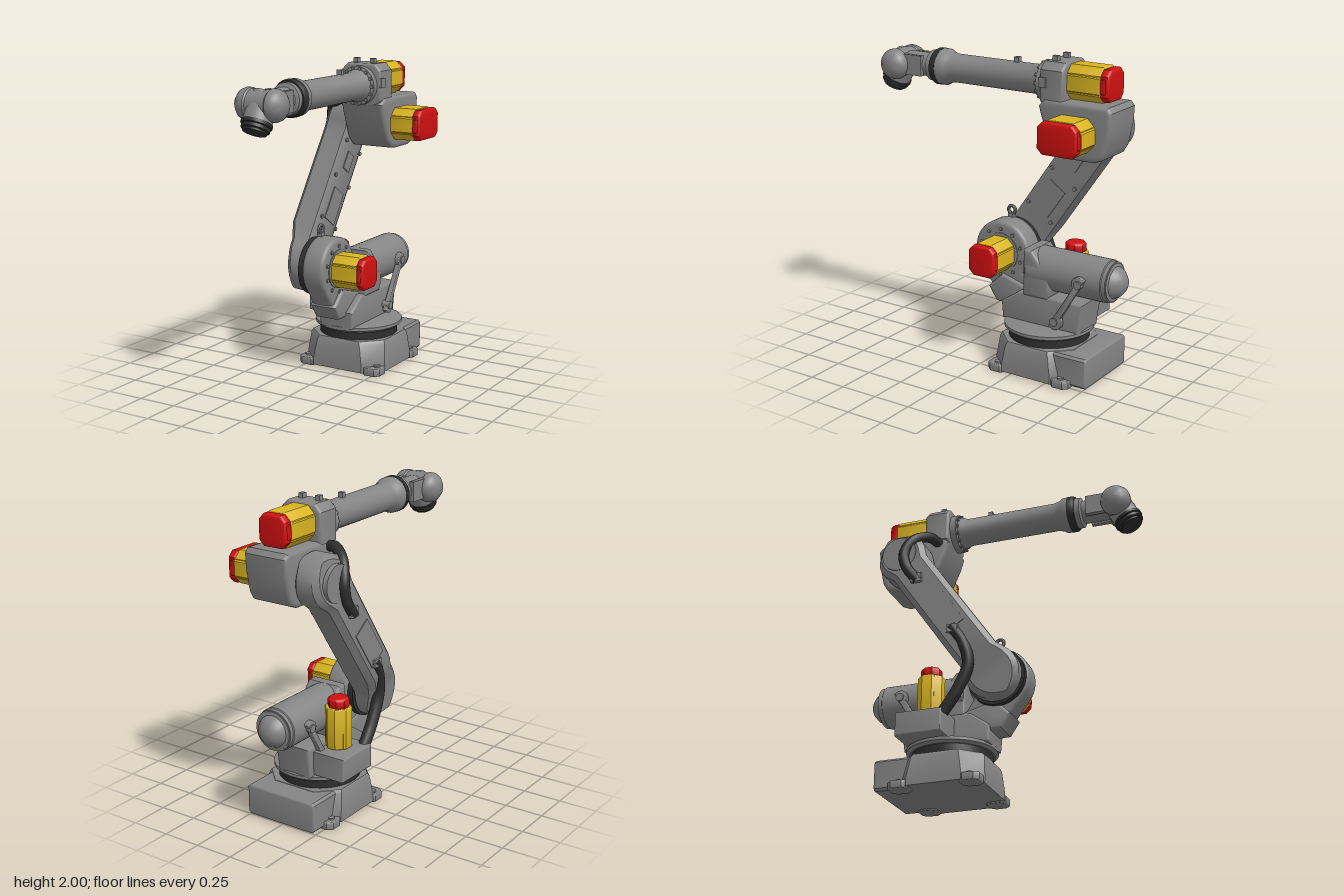
import * as THREE from 'three';
import { toCreasedNormals } from 'three/addons/utils/BufferGeometryUtils.js';

const paint = (name, color) => Object.assign(new THREE.MeshStandardMaterial({ color }), { name });
const V = (x, y, z) => new THREE.Vector3(x, y, z);

export function createModel() {
  const grey = paint('castGrey', 0x858585);
  const dark = paint('rubberBlack', 0x2e2e2e);
  const yellow = paint('motorYellow', 0xdab520);
  const red = paint('capRed', 0xd01010);
  const model = new THREE.Group();
  model.name = 'robotArm';

  const add = (name, geometry, mat, parent = model) => {
    const mesh = new THREE.Mesh(toCreasedNormals(geometry, 0.6), mat);
    mesh.name = name;
    parent.add(mesh);
    return mesh;
  };

  // Turned part: profile of [radius, distance] along a direction
  const turned = (name, mat, profile, origin, dir, sides = 40) => {
    const g = new THREE.LatheGeometry(profile.map(([r, d]) => new THREE.Vector2(r, d)), sides);
    const mesh = add(name, g, mat);
    mesh.position.copy(origin);
    mesh.quaternion.setFromUnitVectors(V(0, 1, 0), dir.clone().normalize());
    return mesh;
  };
  const disc = (name, mat, r, len, origin, dir, sides) =>
    turned(name, mat, [[0, 0], [r, 0], [r, len], [0, len]], origin, dir, sides);
  const box = (name, mat, w, h, d, x, y, z) => {
    const mesh = add(name, new THREE.BoxGeometry(w, h, d), mat);
    mesh.position.set(x, y, z);
    return mesh;
  };

  // Bevelled extrusion of a shape, from depth 0 to len
  const extrude = (pts, len, bevel) => new THREE.ExtrudeGeometry(
    new THREE.Shape(pts.map(([x, y]) => new THREE.Vector2(x, y))),
    { depth: len - 2 * bevel, bevelThickness: bevel, bevelSize: bevel, bevelOffset: -bevel, bevelSegments: 3 })
    .translate(0, 0, bevel);
  // Side casting: outline in (z, y), spanning x0..x1
  const casting = (name, outline, x0, x1, bevel) =>
    add(name, extrude(outline.map(([z, y]) => [-z, y]), x1 - x0, bevel).rotateY(Math.PI / 2).translate(x0, 0, 0), grey);
  const arc = (cz, cy, r, a0, a1, n = 20) => Array.from({ length: n + 1 }, (_, i) => {
    const a = THREE.MathUtils.degToRad(a0 + (a1 - a0) * i / n);
    return [cz + r * Math.cos(a), cy + r * Math.sin(a)];
  });
  const octagon = (w, h, c) => {
    const x = w / 2, y = h / 2;
    return [[x, c - y], [x, y - c], [x - c, y], [c - x, y], [-x, y - c], [-x, c - y], [c - x, -y], [x - c, -y]];
  };

  // Skin over rings with equal point counts, closed at both ends
  const loft = (rings) => {
    const n = rings[0].length, pts = rings.flat(), idx = [];
    for (let i = 0; i < rings.length - 1; i++) for (let j = 0; j < n; j++) {
      const a = i * n + j, b = i * n + (j + 1) % n;
      idx.push(a, b, a + n, b, b + n, a + n);
    }
    const end = (rings.length - 1) * n;
    for (let j = 1; j < n - 1; j++) idx.push(0, j + 1, j, end, end + j, end + j + 1);
    let vol = 0;
    for (let i = 0; i < idx.length; i += 3)
      vol += pts[idx[i]].dot(pts[idx[i + 1]].clone().cross(pts[idx[i + 2]]));
    if (vol < 0) idx.reverse();
    const g = new THREE.BufferGeometry().setFromPoints(pts);
    g.setIndex(idx);
    return g;
  };

  // Servo motor along local +z: ribbed yellow body and red end cap
  const motor = (name, w, h, body, cap, capScale, pos, rx, ry) => {
    const g = new THREE.Group();
    g.name = name;
    add('motorBody', extrude(octagon(w * 0.94, h, 0.045), body, 0.006), yellow, g);
    add('motorRib', extrude(octagon(w, h * 0.55, 0.012), body, 0.006), yellow, g);
    const end = add('motorCap', extrude(octagon(w * capScale, h * capScale, 0.035), cap + 0.01, 0.018), red, g);
    end.position.z = body - 0.01;
    add('motorCapBand', extrude(octagon(w * capScale * 1.04, h * capScale * 0.55, 0.012), cap * 0.75, 0.01), red, g)
      .position.z = body - 0.005;
    g.position.copy(pos);
    g.rotation.set(rx, ry, 0);
    model.add(g);
  };
  const X = V(1, 0, 0), Y = V(0, 1, 0), Z = V(0, 0, 1);

  // Pedestal with rear connector box and foot pads
  const baseRing = (y, s, c) => octagon(0.58 * s, 0.57 * s, c).map(([x, z]) => V(x, y, z - 0.365));
  add('basePedestal', loft([baseRing(0.01, 1, 0.11), baseRing(0.06, 1, 0.11), baseRing(0.19, 0.955, 0.12), baseRing(0.21, 0.92, 0.12)]), grey);
  add('baseRearBox', extrude(octagon(0.5, 0.195, 0.015), 0.3, 0.012), grey).position.set(0, 0.11, -0.77);
  for (const x of [-0.235, 0.235]) for (const z of [-0.145, -0.6]) {
    add('footPad', extrude(octagon(0.13, 0.13, 0.03), 0.05, 0.006).rotateX(-Math.PI / 2), grey).position.set(x, 0, z);
    disc('footBolt', grey, 0.02, 0.015, V(x * 1.1, 0.045, z), Y, 12);
  }

  // Slewing ring and turntable
  disc('slewRing', dark, 0.255, 0.07, V(0, 0.2, -0.36), Y, 48);
  turned('turntable', grey, [[0, 0], [0.265, 0], [0.285, 0.015], [0.285, 0.035], [0.27, 0.04], [0, 0.04]], V(0, 0.262, -0.36), Y, 48);
  casting('turretBody', [[-0.08, 0.29], [-0.07, 0.4], [-0.2, 0.49], [-0.66, 0.49], [-0.63, 0.29]], -0.13, 0.115, 0.015);

  // Shoulder housing
  casting('shoulderHousing', [[-0.02, 0.37], ...arc(-0.025, 0.7, 0.2, -38, 215, 32), [-0.26, 0.47], [-0.28, 0.37]], -0.11, 0.045, 0.025);
  casting('shoulderFoot', [[-0.0, 0.37], [0.06, 0.46], [-0.04, 0.56], [-0.25, 0.5], [-0.28, 0.37]], -0.12, 0.07, 0.02);
  disc('shoulderSeal', dark, 0.185, 0.04, V(-0.145, 0.7, -0.025), X);
  disc('shoulderPlate', grey, 0.125, 0.008, V(0.042, 0.7, -0.025), X);
  for (let i = 0; i < 10; i++) {
    const a = i * Math.PI / 5 + 0.3;
    disc('shoulderBolt', grey, 0.012, 0.014, V(0.04, 0.7 + 0.15 * Math.sin(a), -0.025 + 0.15 * Math.cos(a)), X, 8);
  }
  const eye = add('liftingEye', new THREE.TorusGeometry(0.025, 0.011, 8, 20).rotateY(Math.PI / 2), grey);
  eye.position.set(-0.085, 0.945, -0.02);
  box('liftingEyeFoot', grey, 0.035, 0.04, 0.04, -0.085, 0.905, -0.02);
  motor('shoulderMotor', 0.2, 0.21, 0.19, 0.045, 0.95, V(0.04, 0.697, -0.025), 0, Math.PI / 2);

  // Balancer cylinder with cradle and two support links
  turned('balancerCylinder', grey, [[0, 0], [0.125, 0], [0.135, 0.01], [0.135, 0.54], [0.12, 0.55], [0.12, 0.575],
    [0.1, 0.58], [0.085, 0.61], [0.05, 0.64], [0, 0.65]], V(0, 0.645, -0.25), V(0, 0, -1));
  for (const r of [0.128]) disc('balancerBand', grey, r, 0.03, V(0, 0.645, -0.79), V(0, 0, -1));
  casting('balancerCradle', [[-0.24, 0.78], [-0.24, 0.48], [-0.41, 0.48], [-0.43, 0.52], [-0.43, 0.62], [-0.3, 0.78]], -0.115, 0.13, 0.02);
  for (const s of [-1, 1]) {
    const link = casting('supportLink', [...arc(-0.655, 0.64, 0.048, -35, 145, 10), ...arc(-0.49, 0.365, 0.052, 145, 325, 10)], -0.016, 0.016, 0.006);
    link.position.x = s * 0.145;
    for (const [y, z] of [[0.64, -0.655], [0.365, -0.49]])
      disc('linkPin', grey, 0.026, 0.08, V(s * 0.09, y, z), V(s, 0, 0), 16);
  }

  // Side bracket with the upright slewing motor
  casting('motorBracket', [[-0.3, 0.31], [-0.3, 0.46], [-0.6, 0.46], [-0.6, 0.31]], -0.35, -0.12, 0.01);
  motor('slewMotor', 0.155, 0.16, 0.26, 0.06, 0.78, V(-0.195, 0.46, -0.43), -Math.PI / 2, 0);

  // Lower arm: chamfered sections between shoulder and elbow axes
  const A = V(0, 0.7, -0.025), B = V(0, 1.56, -0.62), L = A.distanceTo(B);
  const along = B.clone().sub(A).normalize(), across = V(0, along.z, -along.y);
  const outer = (t) => {
    const k = [[-0.2, -0.23], [0, -0.26], [0.24, -0.335], [L - 0.12, -0.335], [L + 0.2, -0.285]];
    const i = Math.min(3, Math.max(0, k.findIndex(([d]) => d > t) - 1));
    return THREE.MathUtils.mapLinear(t, k[i][0], k[i + 1][0], k[i][1], k[i + 1][1]);
  };
  const stops = [-0.169, -0.16, -0.145, -0.12, -0.08, -0.04, 0, 0.04, 0.08, 0.12];
  const round = (t, r) => Math.sqrt(Math.max(0, r * r - t * t));
  const armRings = [...stops, 0.24, 0.5, 0.75, ...stops.map((t) => L - t * 0.97).reverse()].map((t) => {
    const inside = t > 0 && t < L ? 0.132 : 0;
    const w = Math.max(round(t, 0.17), round(t - L, 0.165), inside);
    const c = Math.min(0.035, w * 0.5), o = outer(t), n = -0.137;
    return [[n, c - w], [n, w - c], [n - c * 0.5, w], [o + c, w], [o, w - c], [o, c - w], [o + c, -w], [n - c * 0.5, -w]]
      .map(([x, s]) => A.clone().addScaledVector(along, t).addScaledVector(across, s).setX(x));
  });
  add('lowerArm', loft(armRings), grey);
  // Arm covers and bosses
  const armTilt = Math.atan2(along.z, along.y);
  for (const [t, w, h, x] of [[0.42, 0.13, 0.22, -0.137], [0.74, 0.08, 0.12, -0.137], [0.5, 0.14, 0.3, -0.335]]) {
    const p = A.clone().addScaledVector(along, t);
    box('armCover', grey, 0.012, h, w, x, p.y, p.z).rotation.x = armTilt;
  }
  for (const t of [0.3, 0.6, 0.85]) for (const s of [-0.1, 0.1]) {
    const p = A.clone().addScaledVector(along, t).addScaledVector(across, s);
    disc('armBoss', grey, 0.013, 0.012, p.setX(-0.138), X, 10);
  }
  disc('elbowCover', grey, 0.115, 0.03, V(-0.335, 1.56, -0.62), X);
  box('hoseClampLow', grey, 0.06, 0.05, 0.07, -0.325, 0.97, -0.24);
  box('hoseClampHigh', grey, 0.05, 0.06, 0.07, -0.335, 1.36, -0.49);

  // Elbow gearbox
  disc('elbowSeal', dark, 0.15, 0.05, V(-0.165, 1.56, -0.62), X);
  casting('elbowGearbox', [[-0.36, 1.71], [-0.38, 1.64], [-0.45, 1.47], [-0.5, 1.42], [-0.56, 1.41], [-0.74, 1.41], [-0.79, 1.43],
    [-0.82, 1.48], [-0.85, 1.62], [-0.855, 1.72], [-0.83, 1.75], [-0.4, 1.75]], -0.142, 0.163, 0.025);
  motor('elbowMotor', 0.28, 0.205, 0.165, 0.05, 0.96, V(0.155, 1.575, -0.615), 0, Math.PI / 2);

  // Forearm rear housing and roll motor
  add('forearmHousing', extrude(octagon(0.29, 0.28, 0.045), 0.165, 0.02), grey).position.set(0.003, 1.83, -0.525);
  motor('rollMotor', 0.21, 0.21, 0.23, 0.055, 0.92, V(0, 1.855, -0.515), 0, Math.PI);
  for (const x of [-0.06, 0.06]) box('topLug', grey, 0.03, 0.045, 0.035, x, 1.977, -0.425);
  box('housingPad', grey, 0.016, 0.06, 0.05, 0.15, 1.85, -0.385);

  // Forearm tube with flanges
  turned('forearmTube', grey, [[0, 0], [0.125, 0], [0.125, 0.045], [0.105, 0.05], [0.1, 0.08], [0.09, 0.1], [0.09, 0.7],
    [0.098, 0.74], [0.114, 0.765], [0.114, 0.8], [0, 0.8]], V(0, 1.83, -0.365), Z);
  for (let i = 0; i < 14; i++) {
    const a = i * Math.PI / 7;
    disc('flangeBolt', grey, 0.011, 0.016, V(0.113 * Math.cos(a), 1.83 + 0.113 * Math.sin(a), -0.322), Z, 8);
  }
  box('forearmLug', grey, 0.035, 0.05, 0.03, 0, 1.925, -0.115);
  turned('forearmSeal', dark, [[0, 0], [0.116, 0], [0.116, 0.03], [0.108, 0.045], [0, 0.045]], V(0, 1.83, 0.434), Z);
  turned('wristCollar', grey, [[0, 0], [0.098, 0], [0.098, 0.035], [0.075, 0.045], [0.075, 0.22], [0, 0.22]], V(0, 1.83, 0.478), Z);

  // Wrist: domed side pods, round knuckle and tool flange
  const W = V(0, 1.825, 0.755), tool = V(0, -0.88, 0.475);
  for (const s of [-1, 1]) {
    turned('wristPod', grey, [[0, 0], [0.09, 0], [0.097, 0.01], [0.097, 0.035], [0.085, 0.065], [0.055, 0.09], [0, 0.1]],
      V(s * 0.065, W.y, W.z), V(s, 0, 0));
    box('wristFork', grey, 0.03, 0.13, 0.17, s * 0.073, 1.83, 0.64);
  }
  disc('wristKnuckle', grey, 0.09, 0.15, V(-0.075, W.y, W.z), X);
  turned('wristHead', grey, [[0, -0.07], [0.075, -0.07], [0.088, 0], [0.088, 0.115], [0, 0.115]], W, tool);
  turned('toolFlange', dark, [[0, 0], [0.094, 0], [0.094, 0.02], [0.086, 0.025], [0.086, 0.045], [0.072, 0.05], [0.072, 0.062], [0, 0.062]],
    W.clone().addScaledVector(tool, 0.11), tool);

  // Cable hoses
  const hose = (name, pts, r) => add(name, new THREE.TubeGeometry(new THREE.CatmullRomCurve3(pts.map((p) => V(...p))), 40, r, 12), dark);
  hose('lowerHose', [[-0.3, 0.44, -0.31], [-0.3, 0.57, -0.22], [-0.3, 0.74, -0.15], [-0.315, 0.88, -0.18], [-0.325, 0.99, -0.25]], 0.037);
  hose('upperHose', [[-0.13, 1.71, -0.43], [-0.2, 1.72, -0.46], [-0.3, 1.665, -0.53], [-0.345, 1.55, -0.58], [-0.345, 1.45, -0.56], [-0.335, 1.34, -0.48]], 0.034);

  return model;
}
